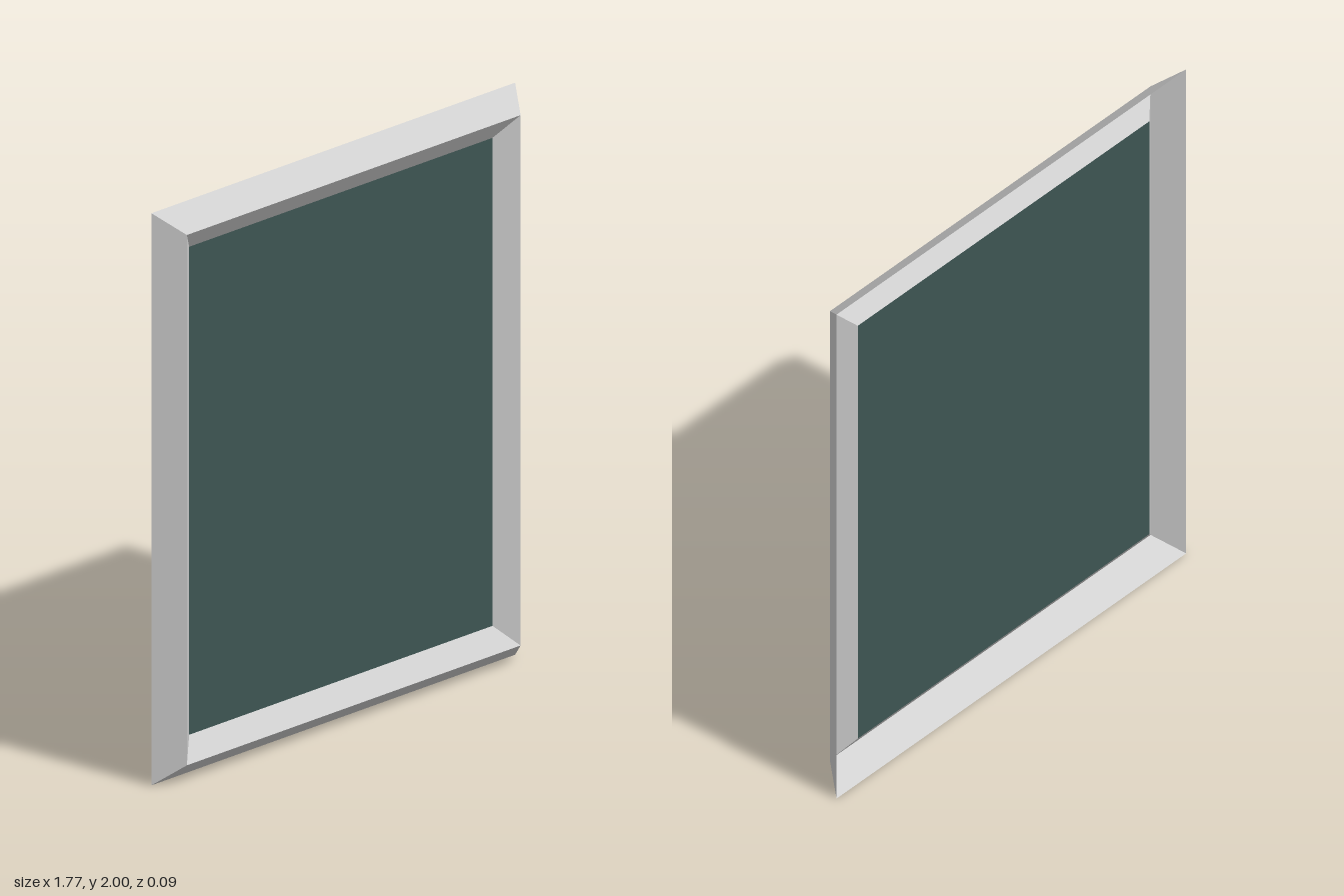
import * as THREE from 'three';

const HALF_W = 0.885, HALF_H = 1;

// Frame profile from outer edge over the ridge to the pane: [inset, z]
const PROFILE = [[0, -0.046], [0.073, 0.046], [0.147, -0.012]];

// Corners of the rectangle at a given inset, counter-clockwise from lower left
function corners([inset, z]) {
  const w = HALF_W - inset, h = HALF_H - inset;
  return [[-w, -h], [w, -h], [w, h], [-w, h]].map(([x, y]) => [x, y + HALF_H, z]);
}

// One mitred bar: a folded strip, open at the back
function barGeometry(side) {
  const positions = [];
  for (let i = 0; i < PROFILE.length - 1; i++) {
    const outer = corners(PROFILE[i]), inner = corners(PROFILE[i + 1]);
    const next = (side + 1) % 4;
    const a = outer[side], b = outer[next], c = inner[next], d = inner[side];
    positions.push(...a, ...b, ...c, ...a, ...c, ...d);
  }
  const geometry = new THREE.BufferGeometry();
  geometry.setAttribute('position', new THREE.Float32BufferAttribute(positions, 3));
  geometry.computeVertexNormals();
  return geometry;
}

export function createModel() {
  const model = new THREE.Group();
  model.name = 'framedPane';

  // Frame of four mitred bars
  const frame = new THREE.Group();
  frame.name = 'frame';
  const frameMaterial = new THREE.MeshStandardMaterial({
    color: 0xcccccc, flatShading: true, side: THREE.DoubleSide,
  });
  ['bottomBar', 'leftBar', 'topBar', 'rightBar'].forEach((name, side) => {
    const bar = new THREE.Mesh(barGeometry(side), frameMaterial);
    bar.name = name;
    frame.add(bar);
  });
  model.add(frame);

  // Dark pane filling the opening
  const [inset, z] = PROFILE[PROFILE.length - 1];
  const pane = new THREE.Mesh(
    new THREE.PlaneGeometry(2 * (HALF_W - inset), 2 * (HALF_H - inset)),
    new THREE.MeshStandardMaterial({ color: 0x3d5452, side: THREE.DoubleSide }),
  );
  pane.name = 'pane';
  pane.position.set(0, HALF_H, z);
  model.add(pane);

  return model;
}
